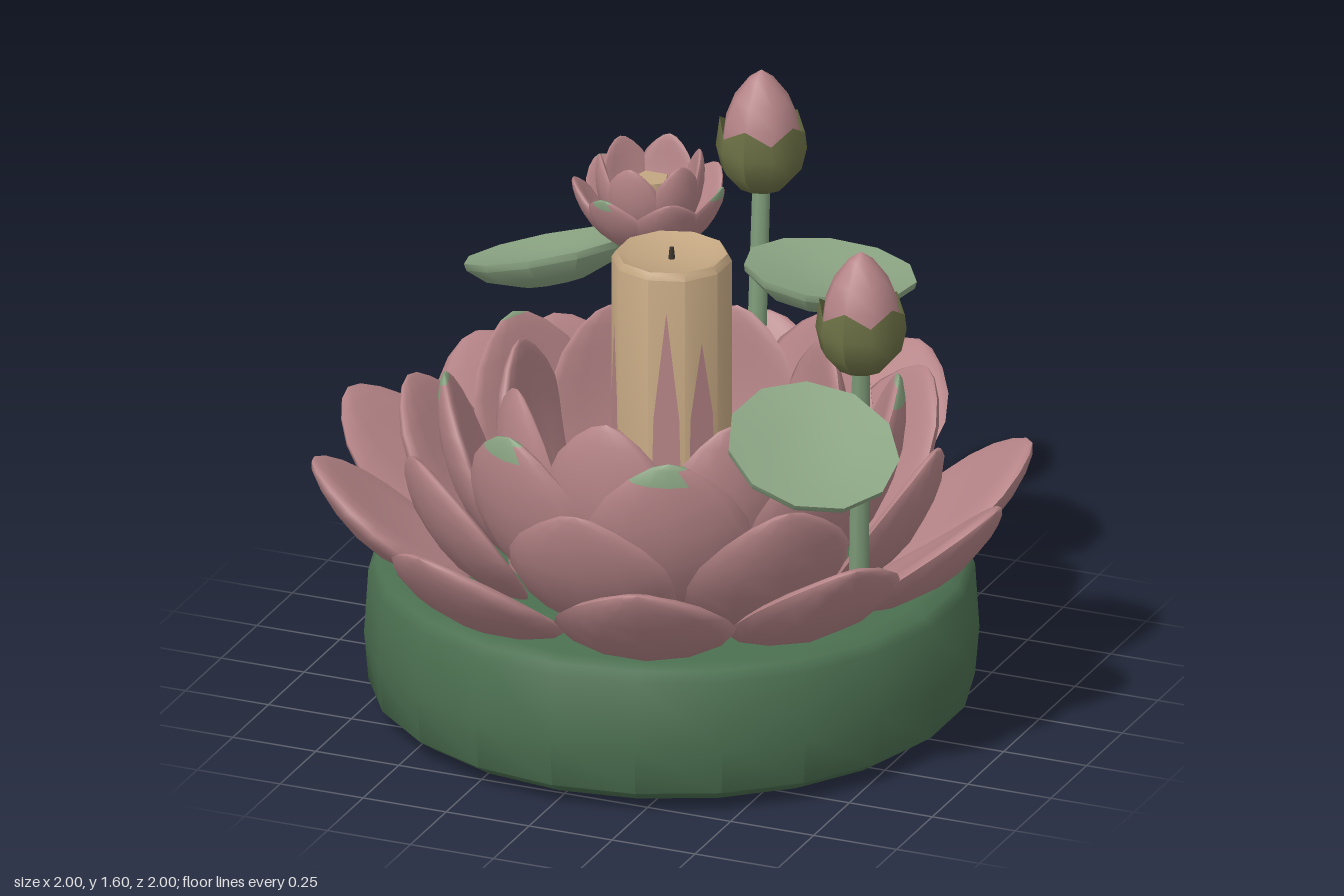
import * as THREE from 'three';
import { toCreasedNormals } from 'three/addons/utils/BufferGeometryUtils.js';

const material = (name, color, extra = {}) => {
  const m = new THREE.MeshStandardMaterial({ color, ...extra });
  m.name = name;
  return m;
};

export function createModel() {
  const pink = material('petal pink', 0xb58487);
  const darkGreen = material('base green', 0x4b6f50);
  const leafGreen = material('leaf green', 0x8ba583);
  const stemGreen = material('stem green', 0x7d9a78);
  const olive = material('calyx olive', 0x6c7145, { side: THREE.DoubleSide });
  const tan = material('candle tan', 0xc3a681);
  const dark = material('wick dark', 0x3a342c);

  const model = new THREE.Group();
  model.name = 'lotusCandle';

  const add = (parent, name, geo, mat, x = 0, y = 0, z = 0) => {
    const m = new THREE.Mesh(geo, mat);
    m.name = name;
    m.position.set(x, y, z);
    parent.add(m);
    return m;
  };
  const lathe = (pts, segs, crease = 0.6) => toCreasedNormals(
    new THREE.LatheGeometry(pts.map(p => new THREE.Vector2(p[0], p[1])), segs), crease);
  const evenAngles = (count, start) => Array.from({ length: count }, (_, i) => start + i * 360 / count);

  // Thick cupped petal with a blunt point, standing on its base, hollow side toward -z
  function petalGeometry(len, width, thick, cup) {
    const g = new THREE.SphereGeometry(1, 12, 10);
    const p = g.attributes.position;
    for (let i = 0; i < p.count; i++) {
      const t = (p.getY(i) + 1) / 2;
      const x = p.getX(i) * (width / 2) * (0.95 + 0.15 * t) * (1 - 0.38 * t ** 5);
      const bow = Math.sin(Math.PI * t) * len * 0.09;
      const z = p.getZ(i) * thick / 2 + bow - cup * x * x / width;
      p.setXYZ(i, x, t * len, z);
    }
    g.computeVertexNormals();
    return g;
  }

  // Petals running from (r0, y0) to (r1, y1) at angles measured from +x toward +z;
  // those listed in tips get a green point
  function petalRing(parent, name, angles, o, tips = []) {
    const dr = o.r1 - o.r0, dy = o.y1 - o.y0;
    const geo = petalGeometry(Math.hypot(dr, dy), o.width, o.thick, o.cup);
    const tipped = geo.clone();
    tipped.addGroup(0, 60, 1);
    tipped.addGroup(60, Infinity, 0);
    angles.forEach((deg, i) => {
      const holder = new THREE.Group();
      holder.name = name;
      holder.rotation.y = THREE.MathUtils.degToRad(90 - deg);
      const green = tips.includes(i);
      const m = add(holder, name + 'Blade', green ? tipped : geo,
        green ? [pink, leafGreen] : pink, 0, o.y0, o.r0);
      m.rotation.x = Math.atan2(dr, dy);
      parent.add(holder);
    });
  }

  // Round base
  add(model, 'base', lathe([[0, 0], [0.7, 0.005], [0.79, 0.025], [0.84, 0.06], [0.852, 0.2],
    [0.84, 0.39], [0.82, 0.42], [0.77, 0.43], [0, 0.43]], 22, 0.9), darkGreen);

  // Large open flower
  petalRing(model, 'outerPetal', [3, 36, 152, 183, 214, 334],
    { r0: 0.53, y0: 0.39, r1: 1.0, y1: 0.74, width: 0.49, thick: 0.1, cup: 0.32 });
  petalRing(model, 'outerPetal', [72, 109, 253, 288],
    { r0: 0.55, y0: 0.39, r1: 1.04, y1: 0.74, width: 0.5, thick: 0.1, cup: 0.32 });
  petalRing(model, 'secondPetal', evenAngles(8, -3),
    { r0: 0.47, y0: 0.39, r1: 0.78, y1: 0.85, width: 0.48, thick: 0.09, cup: 0.35 });
  petalRing(model, 'thirdPetal', evenAngles(8, 22.5),
    { r0: 0.42, y0: 0.42, r1: 0.63, y1: 0.965, width: 0.46, thick: 0.085, cup: 0.4 }, [1, 2, 3, 4, 7]);
  petalRing(model, 'innerPetal', evenAngles(8, 0),
    { r0: 0.36, y0: 0.44, r1: 0.46, y1: 0.995, width: 0.4, thick: 0.075, cup: 0.5 });
  add(model, 'flowerFloor', new THREE.CylinderGeometry(0.46, 0.46, 0.08, 20), pink, 0, 0.46);
  // Gaps in the floor: x, z, width, depth, turn
  [[0.2, -0.17, 0.25, 0.18, -0.45], [0.1, 0.3, 0.13, 0.05, 0.35], [-0.25, 0.2, 0.08, 0.07, 0.6],
    [-0.31, -0.13, 0.06, 0.06, 0.3]].forEach(([x, z, w, d, turn]) => {
    add(model, 'floorPatch', new THREE.BoxGeometry(w, 0.006, d), darkGreen, x, 0.503, z).rotation.y = turn;
  });

  // Candle, with pointed streaks up its facets
  add(model, 'candle', lathe([[0, 0.45], [0.168, 0.45], [0.168, 1.315], [0.155, 1.335],
    [0.12, 1.32], [0, 1.315]], 10, 0.7), tan);
  add(model, 'wick', new THREE.CylinderGeometry(0.006, 0.01, 0.04, 6), dark, 0, 1.33);
  [[18, 1.22], [54, 1.12], [126, 1.18], [198, 1.2], [306, 1.13]].forEach(([deg, top]) => {
    const s = new THREE.Shape();
    s.moveTo(-0.045, 0.5);
    s.lineTo(0.045, 0.5);
    s.lineTo(0.036, 0.9);
    s.lineTo(0, top);
    s.lineTo(-0.036, 0.9);
    const holder = new THREE.Group();
    holder.name = 'candleStreak';
    holder.rotation.y = THREE.MathUtils.degToRad(deg);
    add(holder, 'streak', new THREE.ShapeGeometry(s), pink, 0, 0, 0.163);
    model.add(holder);
  });

  // Thin tapering stalks
  function stem(name, mat, a, b, r) {
    const from = new THREE.Vector3(...a), to = new THREE.Vector3(...b);
    const mid = from.clone().add(to).multiplyScalar(0.5);
    const m = add(model, name, new THREE.CylinderGeometry(r * 0.9, r, from.distanceTo(to), 8),
      mat, mid.x, mid.y, mid.z);
    m.quaternion.setFromUnitVectors(new THREE.Vector3(0, 1, 0), to.sub(from).normalize());
  }

  // Closed buds in toothed calyxes
  const calyxGeo = new THREE.LatheGeometry([[0.005, 0], [0.065, 0.012], [0.112, 0.065], [0.127, 0.13],
    [0.116, 0.215]].map(p => new THREE.Vector2(...p)), 10);
  const cp = calyxGeo.attributes.position;
  for (let i = 4, k = 0; i < cp.count; i += 5, k++) {
    if (k % 2) cp.setXYZ(i, cp.getX(i) * 1.05, 0.175, cp.getZ(i) * 1.05);
  }
  calyxGeo.computeVertexNormals();
  const budGeo = lathe([[0, 0.05], [0.085, 0.07], [0.116, 0.14], [0.106, 0.21], [0.08, 0.275],
    [0.035, 0.335], [0, 0.36]], 8, 0.9);
  [[-0.035, 1.24, -0.71, -0.02, 0.5, -0.62], [0.665, 1.175, 0.22, 0.645, 0.5, 0.19]].forEach(([x, y, z, bx, by, bz]) => {
    const bud = new THREE.Group();
    bud.name = 'bud';
    bud.position.set(x, y, z);
    add(bud, 'budPetals', budGeo, pink);
    add(bud, 'calyx', calyxGeo, olive);
    model.add(bud);
    stem('budStem', stemGreen, [bx, by, bz], [x, y + 0.02, z], 0.03);
  });

  // Small half-open flower
  const flower = new THREE.Group();
  flower.name = 'smallFlower';
  flower.position.set(-0.325, 1.07, -0.605);
  petalRing(flower, 'smallOuterPetal', evenAngles(7, 0),
    { r0: 0.06, y0: 0, r1: 0.215, y1: 0.2, width: 0.2, thick: 0.04, cup: 0.5 }, [0, 2, 4, 5]);
  petalRing(flower, 'smallInnerPetal', evenAngles(6, 30),
    { r0: 0.07, y0: 0.03, r1: 0.14, y1: 0.275, width: 0.17, thick: 0.035, cup: 0.6 });
  add(flower, 'smallFlowerCup', lathe([[0, 0], [0.06, 0.005], [0.11, 0.07], [0.09, 0.13], [0, 0.14]], 10), pink);
  add(flower, 'smallFlowerHeart', new THREE.CylinderGeometry(0.055, 0.065, 0.06, 5), tan, 0, 0.165);
  model.add(flower);
  stem('flowerStem', pink, [-0.29, 0.5, -0.56], [-0.32, 1.09, -0.605], 0.036);

  // Dished leaves tipping outward, each touching a neighbouring stalk
  const leafGeo = lathe([[0, -0.07], [0.1, -0.062], [0.19, -0.03], [0.24, 0.015], [0.243, 0.035],
    [0.12, 0.012], [0, 0]], 11, 0.7);
  [[-0.6, 1.0, -0.55, -2.1, 0.32], [0.225, 1.06, -0.58, 2.4, 0.12], [0.635, 1.03, 0.5, 0.8, 0.44]].forEach(([x, y, z, turn, tilt]) => {
    const leaf = add(model, 'leaf', leafGeo, leafGreen, x, y, z);
    leaf.rotation.order = 'YXZ';
    leaf.rotation.set(tilt, turn, 0);
  });

  return model;
}
